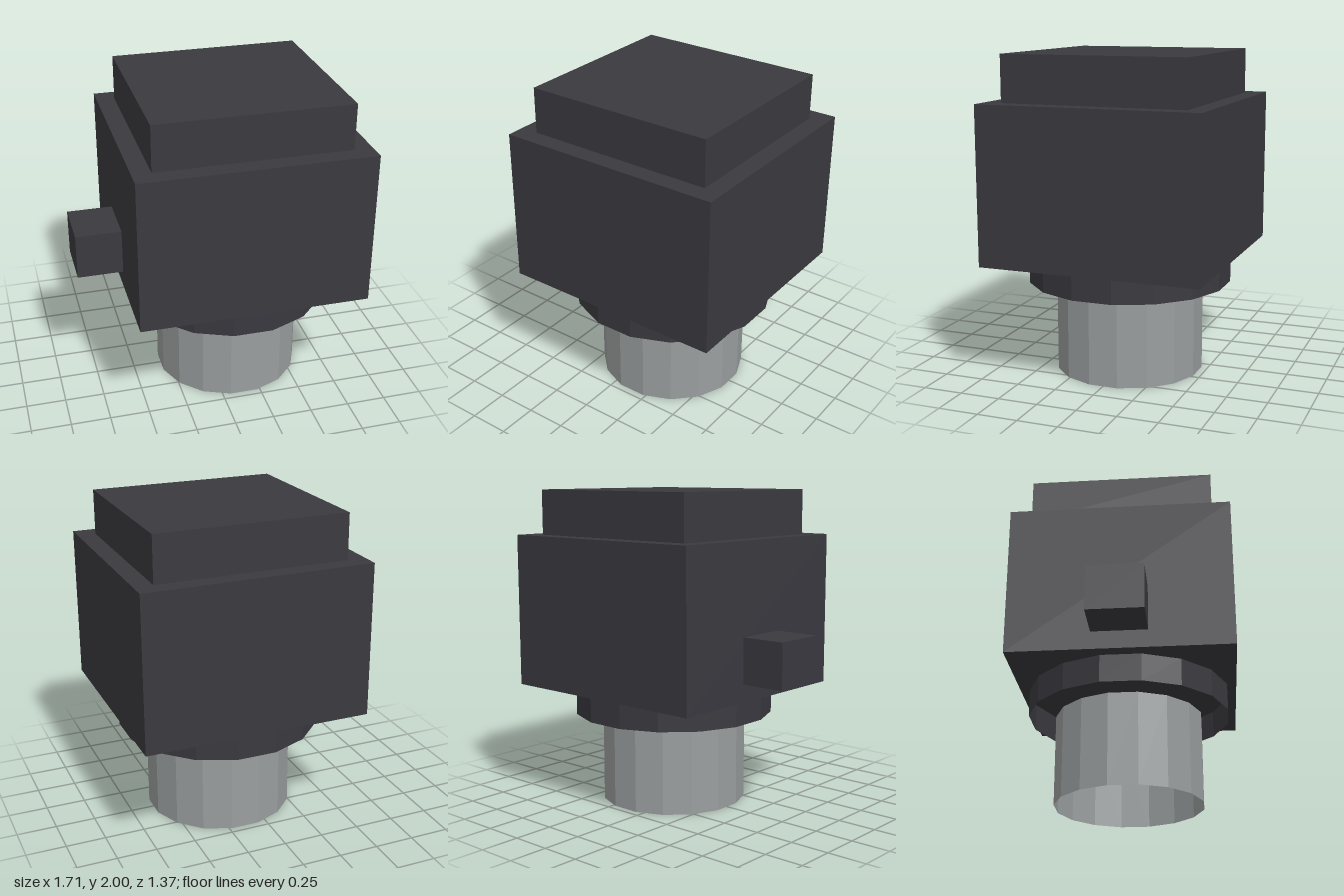
import * as THREE from 'three';

export function createModel() {
  const model = new THREE.Group();
  const dark = new THREE.MeshStandardMaterial({ color: 0x3a393f, flatShading: true, side: THREE.DoubleSide });
  dark.name = 'dark charcoal';
  const grey = new THREE.MeshStandardMaterial({ color: 0x9a9e9e, flatShading: true, side: THREE.DoubleSide });
  grey.name = 'metal grey';

  const axisX = 0.142; // shared centre line of housing, cap, collar and barrel

  const add = (name, geometry, material, x, y) => {
    const mesh = new THREE.Mesh(geometry, material);
    mesh.name = name;
    mesh.position.set(x, y, 0);
    model.add(mesh);
    return mesh;
  };
  const box = (name, x, y0, y1, width, depth) =>
    add(name, new THREE.BoxGeometry(width, y1 - y0, depth), dark, x, (y0 + y1) / 2);

  // Open 16-sided sleeve with flat faces towards each axis
  const sleeve = (name, material, radius, y0, y1) => {
    const geometry = new THREE.CylinderGeometry(radius, radius, y1 - y0, 16, 1, true);
    geometry.rotateY(Math.PI / 16);
    add(name, geometry, material, axisX, (y0 + y1) / 2);
  };

  // Main body, raised cap and side knob
  box('housing', axisX, 0.747, 1.715, 1.43, 1.37);
  box('topCap', axisX, 1.715, 2, 1.2, 1.142);
  box('sideKnob', -0.715, 0.86, 1.145, 0.285, 0.342);

  // Collar and barrel beneath, both hollow
  sleeve('collar', dark, 0.639, 0.575, 0.747);
  sleeve('barrel', grey, 0.466, 0, 0.575);

  return model;
}
